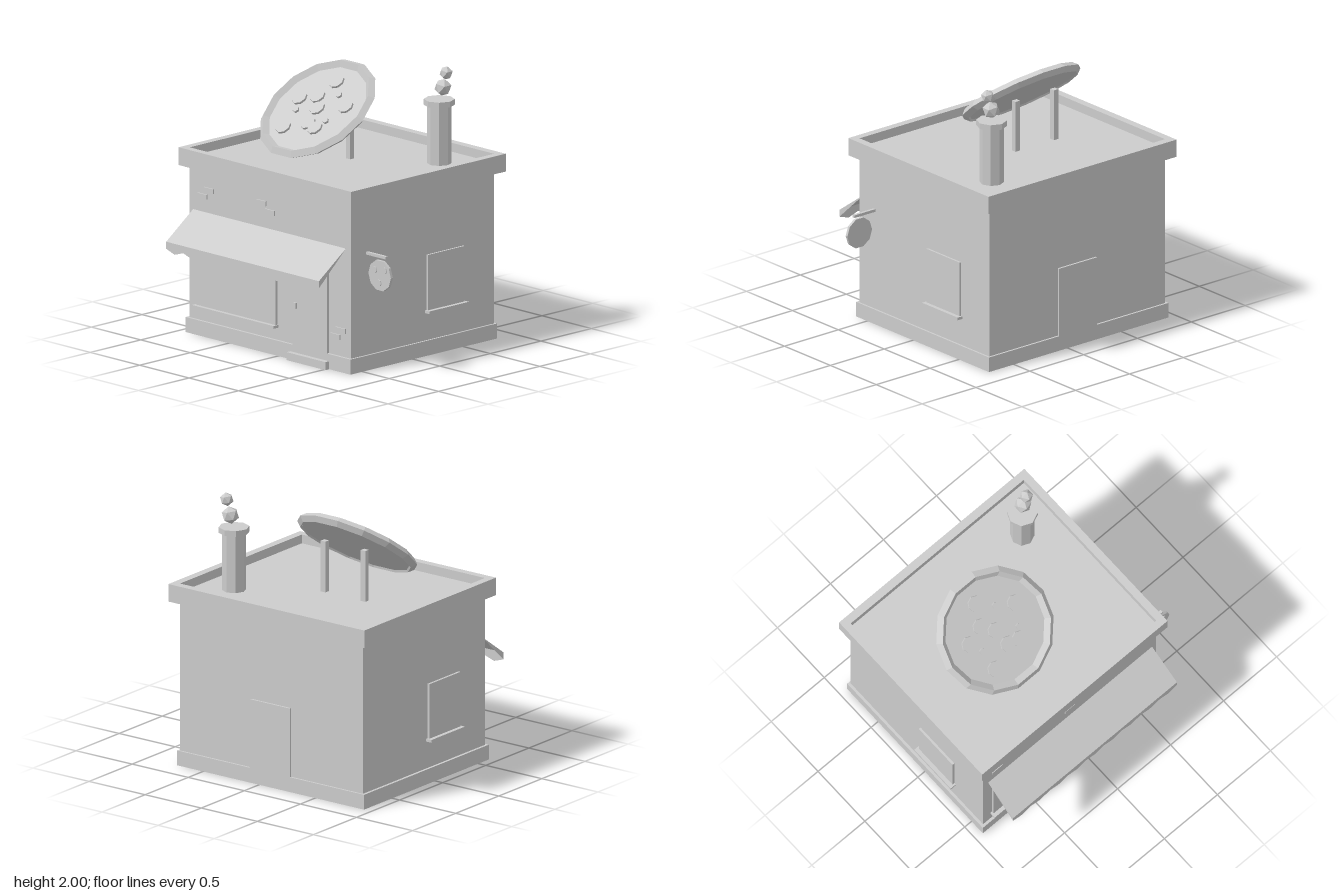
import * as THREE from 'three';

export function createModel() {
  const model = new THREE.Group();
  const plaster = new THREE.MeshStandardMaterial({ color: 0xcccccc, flatShading: true, side: THREE.DoubleSide });
  plaster.name = 'lightGrey';

  const add = (name, geometry, parent = model) => {
    const mesh = new THREE.Mesh(geometry, plaster);
    mesh.name = name;
    parent.add(mesh);
    return mesh;
  };
  // Box given by its limits on each axis
  const box = (name, x0, x1, y0, y1, z0, z1) => add(name,
    new THREE.BoxGeometry(x1 - x0, y1 - y0, z1 - z0)
      .translate((x0 + x1) / 2, (y0 + y1) / 2, (z0 + z1) / 2));
  // Box with its bottom face left out
  const openBox = (...args) => {
    const geometry = box(...args).geometry;
    const index = Array.from(geometry.index.array);
    index.splice(18, 6);
    geometry.clearGroups();
    geometry.setIndex(index);
  };
  // Upright prism with a corner on the x axis
  const prism = (r, h, sides) => new THREE.CylinderGeometry(r, r, h, sides).rotateY(Math.PI / 2);
  const rectangle = (path, x0, x1, y0, y1) =>
    path.moveTo(x0, y0).lineTo(x1, y0).lineTo(x1, y1).lineTo(x0, y1).closePath();

  // Walls with the flat roof, standing on a hollow plinth
  box('walls', -0.915, 0.717, 0.11, 1.285, -0.813, 0.6);
  openBox('plinth', -0.935, 0.732, 0, 0.11, -0.828, 0.62);

  // Parapet ring round the roof
  const ring = new THREE.Shape();
  rectangle(ring, -0.972, 0.775, -0.655, 0.873);
  const opening = new THREE.Path();
  rectangle(opening, -0.915, 0.717, -0.6, 0.813);
  ring.holes.push(opening);
  add('parapet', new THREE.ExtrudeGeometry(ring, { depth: 0.13, bevelEnabled: false })
    .rotateX(-Math.PI / 2).translate(0, 1.22, 0));

  // Shop window, doors and step
  box('shopWindow', -0.831, -0.028, 0.22, 0.71, 0.59, 0.618);
  box('shopWindowSill', -0.846, -0.018, 0.2, 0.22, 0.59, 0.648);
  box('frontDoor', 0.144, 0.492, 0.11, 0.71, 0.59, 0.62);
  box('doorHandle', 0.165, 0.192, 0.382, 0.424, 0.61, 0.637);
  openBox('doorStep', 0.122, 0.515, 0, 0.058, 0.62, 0.657);
  box('backDoor', -0.273, 0.08, 0.11, 0.62, -0.828, -0.8);

  // Side windows with sills, turned half round about the middle of the walls
  for (const side of [-1, 1]) {
    const centreX = -0.1, centreZ = -0.107;
    const place = (name, out, y0, y1, z0, z1) => {
      const xs = [0.8, out].map(v => centreX + side * v).sort((a, b) => a - b);
      const zs = [z0, z1].map(v => centreZ + side * v).sort((a, b) => a - b);
      box(name, ...xs, y0, y1, ...zs);
    };
    place('sideWindow', 0.832, 0.33, 0.735, -0.4, -0.04);
    place('sideWindowSill', 0.862, 0.31, 0.33, -0.415, -0.025);
  }

  // Loose bricks on the front
  for (const [x, y] of [[-0.719, 1.072], [-0.785, 1.019], [-0.188, 1.083], [-0.1, 1.029], [0.616, 0.3], [0.562, 0.247]])
    box('brick', x - 0.048, x + 0.048, y - 0.018, y + 0.018, 0.59, 0.61);

  // Awning: sloping canopy, closed ends and a scalloped valance
  const left = -0.873, right = 0.672;
  const canopy = new THREE.BufferGeometry();
  canopy.setAttribute('position', new THREE.Float32BufferAttribute([
    left, 0.908, 0.607, left, 0.718, 0.873, right, 0.718, 0.873, right, 0.908, 0.607,
    left, 0.666, 0.873, right, 0.666, 0.873], 3));
  canopy.setIndex([0, 1, 2, 0, 2, 3, 0, 4, 1, 3, 2, 5]);
  canopy.computeVertexNormals();
  add('awningCanopy', canopy);
  const valance = new THREE.Shape().moveTo(left, 0.718).lineTo(left, 0.666);
  const teeth = 9, step = (right - left) / teeth;
  for (let i = 0; i < teeth; i++) {
    valance.lineTo(left + (i + 0.5) * step, 0.638);
    valance.lineTo(left + (i + 1) * step, 0.666);
  }
  valance.lineTo(right, 0.718);
  add('awningValance', new THREE.ShapeGeometry(valance).translate(0, 0, 0.873));

  // Hanging sign on a bracket
  box('signBracket', 0.7, 0.912, 0.844, 0.864, 0.428, 0.45);
  add('signDisc', prism(0.114, 0.02, 10).rotateX(Math.PI / 2).translate(0.857, 0.717, 0.444));
  for (const [x, y] of [[-0.05, 0.035], [0.05, 0.045], [-0.005, -0.055]])
    add('signTopping', prism(0.025, 0.008, 7).rotateX(Math.PI / 2).translate(0.857 + x, 0.717 + y, 0.457));

  // Chimney with two puffs of smoke
  add('chimneyShaft', prism(0.087, 0.46, 8).translate(0.453, 1.49, -0.53));
  add('chimneyCap', prism(0.11, 0.042, 8).translate(0.453, 1.732, -0.53));
  for (const [r, x, y] of [[0.064, 0.473, 1.839], [0.05, 0.505, 1.95]])
    add('smokePuff', new THREE.IcosahedronGeometry(r, 0).rotateZ(0.35).translate(x, y, -0.547));

  // Tilted pizza on two posts
  for (const x of [-0.435, -0.08]) box('pizzaPost', x - 0.021, x + 0.021, 1.27, 1.662, -0.19, -0.15);
  const pizza = new THREE.Group();
  pizza.name = 'pizza';
  pizza.position.set(-0.255, 1.642, -0.021);
  pizza.rotation.x = 0.65;
  model.add(pizza);
  add('crust', new THREE.TorusGeometry(0.42, 0.036, 4, 14).rotateX(-Math.PI / 2).scale(1, 1, 1.025), pizza);
  add('cheese', prism(0.41, 0.025, 14).translate(0, -0.0125, 0), pizza);
  for (const [x, v] of [[-0.01, 0.254], [-0.215, 0.045], [-0.075, 0.096], [0, 0], [0.23, 0.07], [-0.16, -0.225], [0.02, -0.14], [0.11, -0.165]])
    add('pepperoni', prism(0.058, 0.02, 8).translate(x, 0.006, -v), pizza);
  for (const [x, v] of [[0.1, 0.149], [-0.165, -0.06], [0.157, -0.088]])
    add('olive', prism(0.024, 0.02, 5).translate(x, 0.006, -v), pizza);

  return model;
}
